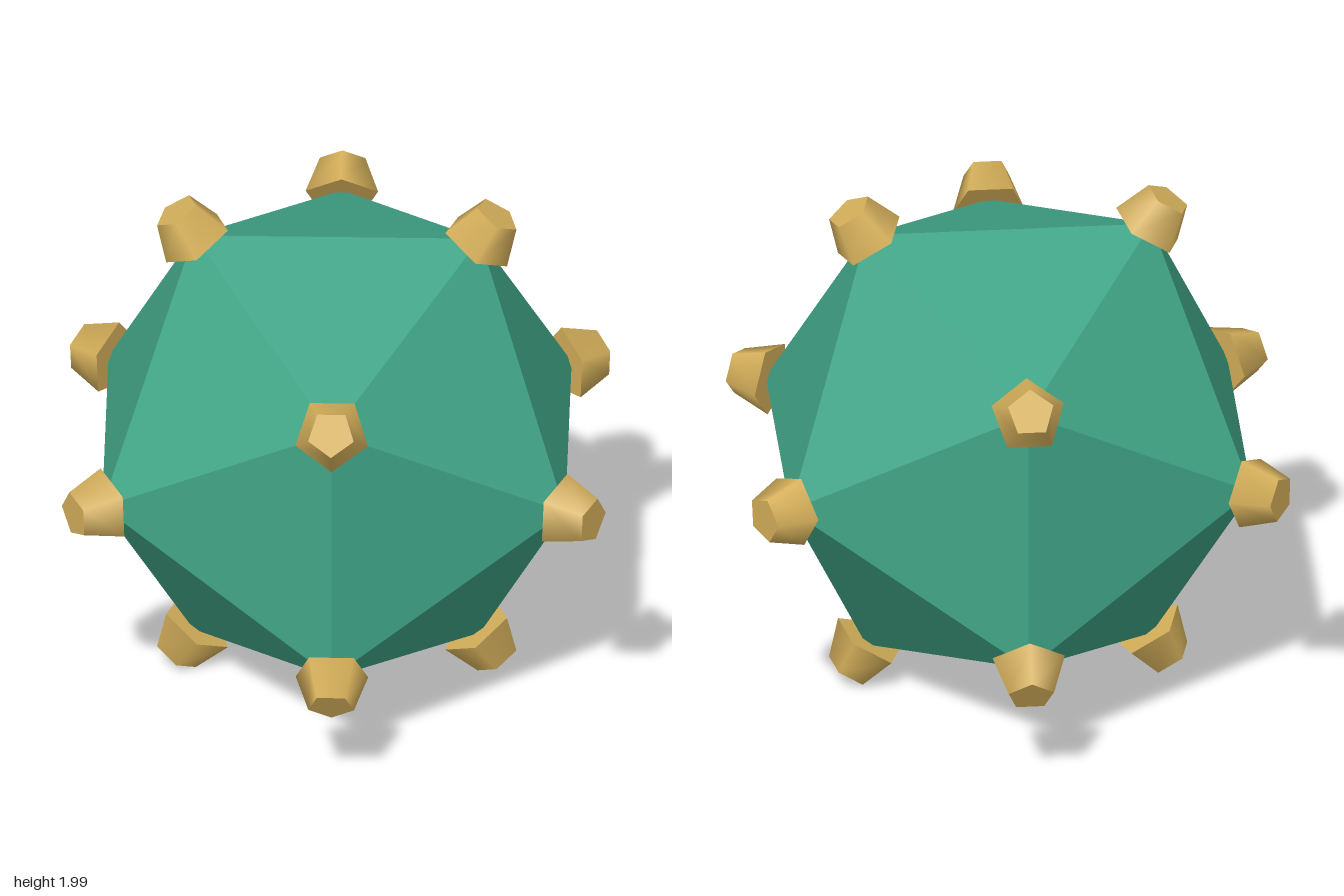
import * as THREE from 'three';

const green = new THREE.MeshStandardMaterial({ color: 0x40a486 });
green.name = 'jade green';
const gold = new THREE.MeshStandardMaterial({ color: 0xd4af5a });
gold.name = 'gold';

export function createModel() {
  const model = new THREE.Group();
  model.name = 'studdedIcosahedron';
  const body = new THREE.Group();
  body.name = 'body';
  body.position.y = 0.998;
  model.add(body);

  // Faceted twenty-sided core
  const core = new THREE.Mesh(new THREE.IcosahedronGeometry(1, 0), green);
  core.name = 'core';
  body.add(core);

  // Tapered five-sided stud on each of the twelve corners
  const studGeometry = new THREE.CylinderGeometry(0.088, 0.14, 0.145, 5);
  const up = new THREE.Vector3(0, 1, 0);
  const golden = (1 + Math.sqrt(5)) / 2;
  for (const a of [-1, 1]) {
    for (const b of [-golden, golden]) {
      for (const corner of [[a, b, 0], [0, a, b], [b, 0, a]]) {
        const direction = new THREE.Vector3(...corner).normalize();
        const stud = new THREE.Mesh(studGeometry, gold);
        stud.name = 'cornerStud';
        stud.position.copy(direction).multiplyScalar(1.0475);
        stud.quaternion.setFromUnitVectors(up, direction);
        body.add(stud);
      }
    }
  }
  return model;
}
